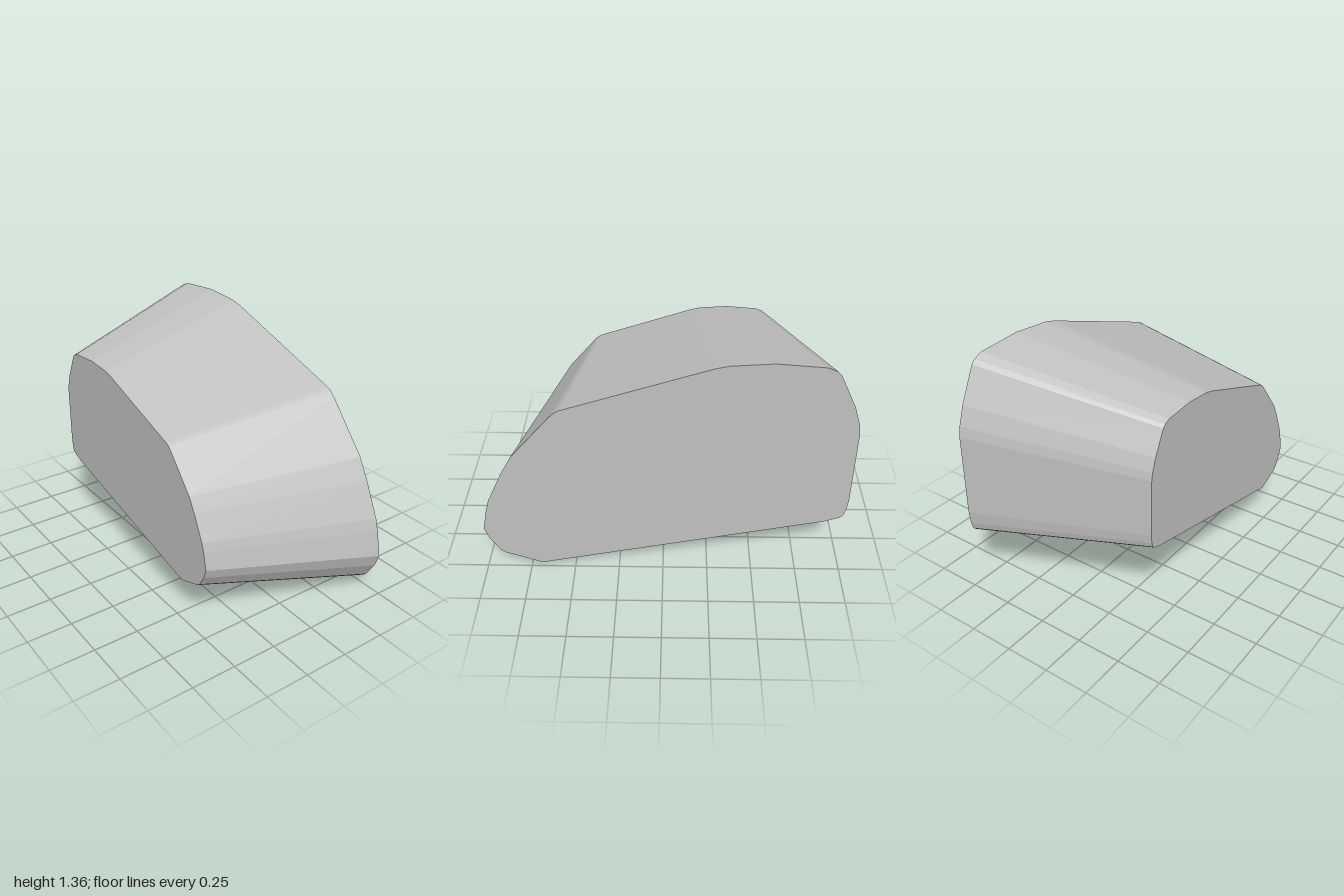
import * as THREE from 'three';

export function createModel() {
  const model = new THREE.Group();
  const grey = new THREE.MeshStandardMaterial({ color: 0xc0c0c0 });
  grey.name = 'light grey';

  // Outline of the large rear end, clockwise from the left edge
  const outline = [
    [-1, 0.5], [-0.995, 0.95], [-0.985, 1.01], [-0.95, 1.115], [-0.86, 1.3], [-0.84, 1.322],
    [-0.79, 1.343], [-0.54, 1.363], [-0.32, 1.348], [-0.25, 1.332], [0.52, 1.076],
    [0.545, 1.062], [0.572, 1.036], [0.797, 0.773], [0.86, 0.66], [0.95, 0.468],
    [0.97, 0.4], [1, 0.26], [0.975, 0.185], [0.92, 0.095], [0.895, 0.075], [0.7, 0.002],
    [0.685, 0], [0.65, 0.008], [-0.89, 0.346], [-0.965, 0.374], [-0.982, 0.39], [-0.993, 0.43],
  ].map(([x, y]) => new THREE.Vector2(x, y));

  // Straight prism, then tapered towards the front
  const depth = 0.944;
  const geometry = new THREE.ExtrudeGeometry(new THREE.Shape(outline), {
    depth, steps: 1, bevelEnabled: false,
  });
  const pos = geometry.attributes.position;
  for (let i = 0; i < pos.count; i++) {
    const t = pos.getZ(i) / depth;
    const s = 1 - 0.303 * t;
    pos.setXYZ(i, pos.getX(i) * s + 0.0225 * t, pos.getY(i) * s + 0.209 * t, pos.getZ(i) - depth / 2);
  }
  geometry.computeVertexNormals();

  const body = new THREE.Mesh(geometry, grey);
  body.name = 'taperedBlock';
  model.add(body);
  return model;
}
